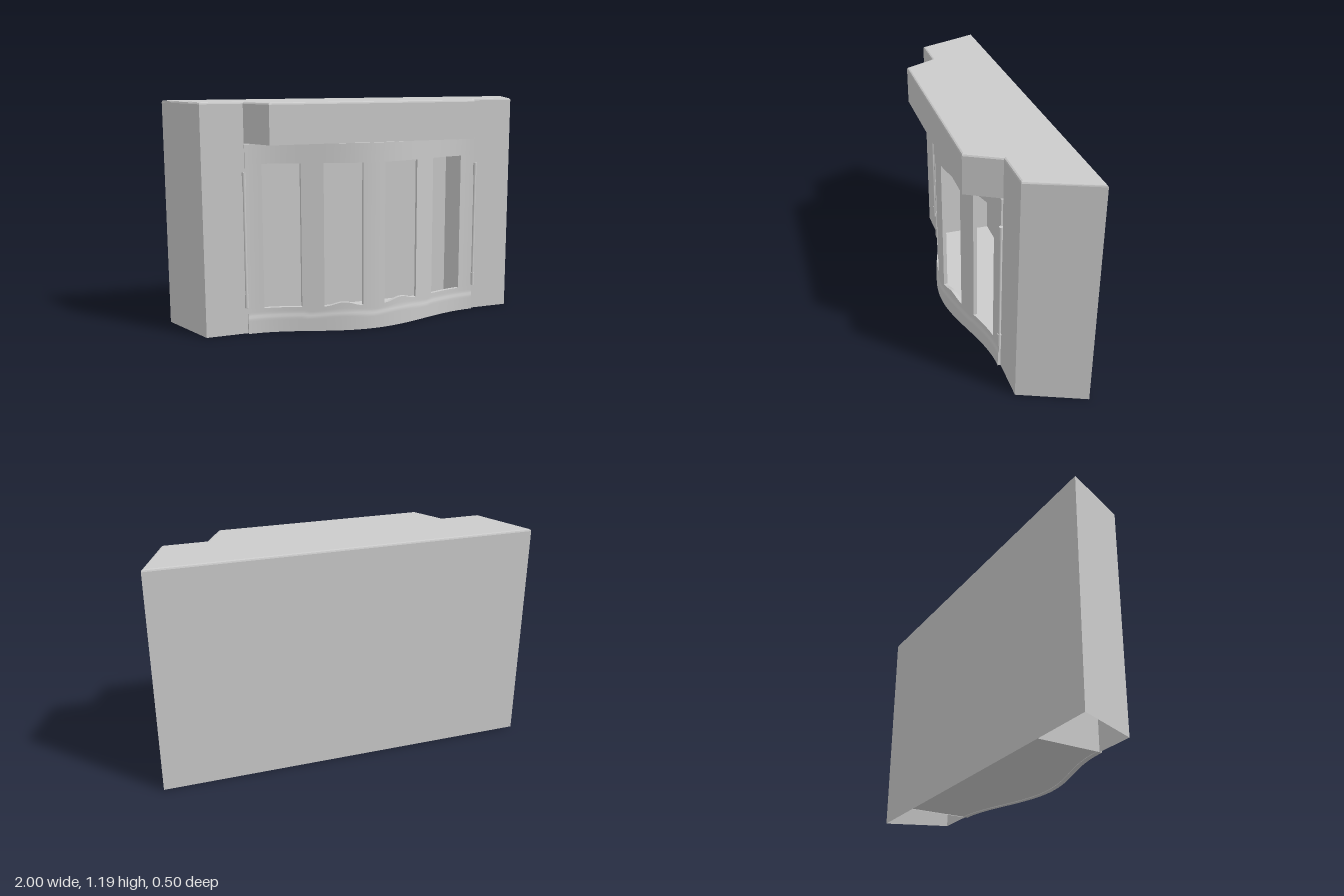
import * as THREE from 'three';

const H = 1.19, SOFFIT = 0.985, CX = -0.005, HALF = 0.645;
const grey = new THREE.MeshStandardMaterial({ color: 0xcccccc });
const greyThin = new THREE.MeshStandardMaterial({ color: 0xcccccc, side: THREE.DoubleSide });

// Depth of the bowed front at a given x (measured from the door centre)
const bow = x => 0.10 + 0.0675 * (1 + Math.cos(Math.PI * x / HALF));

function add(parent, name, geometry, material = grey) {
  const mesh = new THREE.Mesh(geometry, material);
  mesh.name = name;
  parent.add(mesh);
  return mesh;
}

// Wall that follows plan points [x, z] through rows [y, inset]
function wall(path, rows, closed = false) {
  const pos = [];
  const at = ([x, z], [y, d]) => [x - Math.sign(x) * d, y, z - Math.sign(z) * d];
  const n = closed ? path.length : path.length - 1;
  for (let r = 0; r < rows.length - 1; r++) {
    for (let i = 0; i < n; i++) {
      const p = path[i], q = path[(i + 1) % path.length];
      const a = at(p, rows[r]), b = at(q, rows[r]), c = at(q, rows[r + 1]), d = at(p, rows[r + 1]);
      pos.push(...a, ...b, ...c, ...a, ...c, ...d);
    }
  }
  const g = new THREE.BufferGeometry();
  g.setAttribute('position', new THREE.Float32BufferAttribute(pos, 3));
  g.computeVertexNormals();
  return g;
}

// Horizontal sheet from plan points, facing up
function sheet(path, y) {
  const g = new THREE.ShapeGeometry(new THREE.Shape(path.map(([x, z]) => new THREE.Vector2(x, -z))));
  return g.rotateX(-Math.PI / 2).translate(0, y, 0);
}

// Box piece of the door, bent to the bowed plan
function bentPiece(x0, x1, y0, y1, shape) {
  const w = x1 - x0, h = y1 - y0, t = 0.02;
  const g = new THREE.BoxGeometry(w, h, t, Math.max(6, Math.round(w / 0.015)), shape ? 14 : 1, 1);
  g.translate((x0 + x1) / 2, (y0 + y1) / 2, 0);
  const p = g.attributes.position;
  for (let i = 0; i < p.count; i++) {
    const x = p.getX(i), y = p.getY(i), front = p.getZ(i) > 0;
    let z = bow(x) - 0.006 - (front ? 0 : t);
    if (shape) {
      const [newY, push] = shape(x, y);
      p.setY(i, newY);
      if (front) z += push;
    }
    p.setXYZ(i, x + CX, p.getY(i), z);
  }
  g.computeVertexNormals();
  return g;
}

export function createModel() {
  const model = new THREE.Group();
  model.name = 'fireplaceSurround';

  // Plan corners, running from the left of the opening round the back
  const l = HALF + CX, r = -HALF + CX;
  const outer = [[l, 0.085], [0.865, 0.085], [1, -0.25], [-1, -0.25], [-0.865, 0.085], [r, 0.085]];
  const header = [[-0.555 + CX, 0.252], [0.555 + CX, 0.252]];
  const full = [...outer, ...header];

  // Hollow body, with the projecting header and softened top edge
  const body = new THREE.Group();
  body.name = 'body';
  model.add(body);
  add(body, 'lowerWalls', wall(outer, [[0, 0], [SOFFIT, 0]]), greyThin);
  add(body, 'upperWalls',
    wall(full, [[SOFFIT, 0], [H - 0.01, 0], [H - 0.003, 0.003], [H, 0.01]], true), greyThin);
  add(body, 'top', sheet(full.map(([x, z]) => [x - Math.sign(x) * 0.01, z - Math.sign(z) * 0.01]), H), greyThin);
  add(body, 'headerUnderside', sheet([[l, -0.249], [r, -0.249], [r, 0.085], ...header, [l, 0.085]], SOFFIT), greyThin);

  // Firebox cheeks and bowed hearth floor
  for (const x of [l, r]) {
    add(body, 'fireboxSide', wall([[x, -0.249], [x, 0.085]], [[0, 0], [SOFFIT, 0]]), greyThin);
  }
  const hearth = [[l, -0.249], [r, -0.249]];
  for (let i = 0; i <= 60; i++) {
    const x = -HALF + 2 * HALF * i / 60;
    hearth.push([x + CX, bow(x) - 0.004]);
  }
  add(body, 'hearthFloor', sheet(hearth, 0.003), greyThin);

  // Bowed door: top rail, waved bottom rail and five stiles around four windows
  const door = new THREE.Group();
  door.name = 'door';
  model.add(door);
  add(door, 'topRail', bentPiece(-HALF, HALF, 0.88, 0.98));
  add(door, 'bottomRail', bentPiece(-HALF, HALF, 0, 0.13, (x, y) => {
    const a = Math.abs(x);
    const hump = a > 0.06 && a < 0.26 ? 0.02 * Math.sin(Math.PI * (a - 0.06) / 0.2) ** 2 : 0;
    const edge = 0.085 + 0.006 * (a < 0.36 ? Math.sin(Math.PI * (a - 0.06) / 0.2) : 0);
    return [y + hump * THREE.MathUtils.smoothstep(y, 0.1, 0.13),
      0.006 * (1 - THREE.MathUtils.smoothstep(y, edge - 0.008, edge + 0.015))];
  }));
  for (const [a, b] of [[-HALF, -0.56], [-0.37, -0.26], [-0.06, 0.06], [0.26, 0.37], [0.56, HALF]]) {
    add(door, 'stile', bentPiece(a, b, 0.13, 0.88));
  }

  // Hinge rods with a knuckle at each end
  for (const side of [-1, 1]) {
    const hinge = new THREE.Group();
    hinge.name = 'hinge';
    hinge.position.set(CX + side * 0.651, 0, 0.096);
    model.add(hinge);
    add(hinge, 'hingeRod', new THREE.CylinderGeometry(0.007, 0.007, 0.56, 12)).position.y = 0.49;
    for (const y of [0.175, 0.805]) {
      add(hinge, 'hingeKnuckle', new THREE.CylinderGeometry(0.01, 0.01, 0.07, 12)).position.y = y;
    }
  }
  return model;
}
